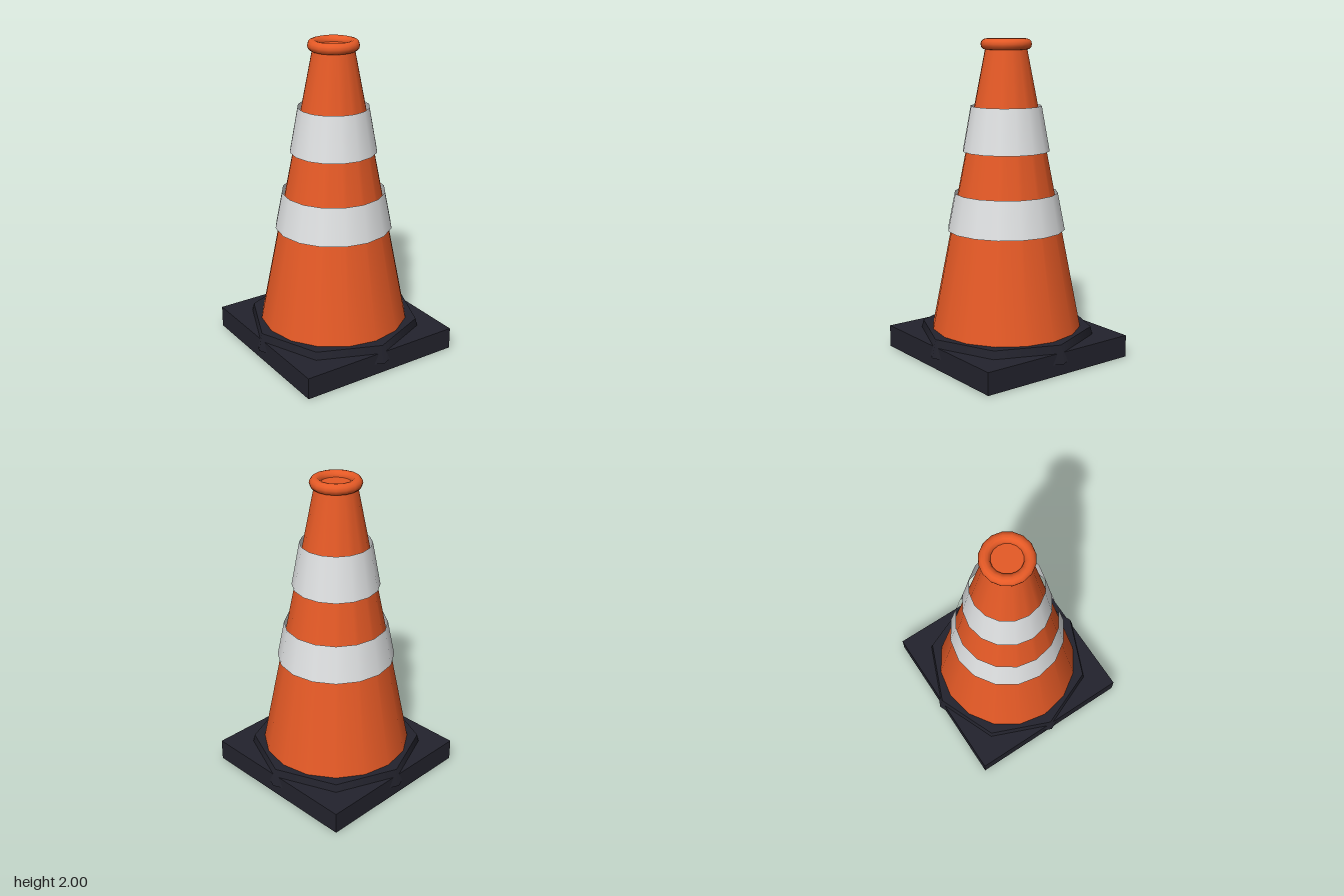
import * as THREE from 'three';

export function createModel() {
  const group = new THREE.Group();
  const orange = new THREE.MeshStandardMaterial({ name: 'orange plastic', color: 0xe65a26 });
  const silver = new THREE.MeshStandardMaterial({ name: 'reflective silver', color: 0xe0e2e3, side: THREE.DoubleSide });
  const rubber = new THREE.MeshStandardMaterial({ name: 'dark rubber', color: 0x23232d });

  function add(name, geometry, material, y = 0) {
    const mesh = new THREE.Mesh(geometry, material);
    mesh.name = name;
    mesh.position.y = y;
    group.add(mesh);
    return mesh;
  }

  // Tapered round part between two heights
  function taper(name, y0, r0, y1, r1, sides, material, open = false) {
    const geometry = new THREE.CylinderGeometry(r1, r0, y1 - y0, sides, 1, open);
    return add(name, geometry, material, (y0 + y1) / 2);
  }

  // Square foot with an octagonal collar whose corners poke past its sides
  add('basePlate', new THREE.BoxGeometry(1.086, 0.14, 1.086), rubber, 0.07);
  taper('baseCollar', 0.075, 0.568, 0.19, 0.543, 8, rubber);

  // Cone body
  taper('coneBody', 0.17, 0.479, 1.965, 0.125, 16, orange);

  // Loose reflective sleeves, open at both ends
  taper('lowerBand', 0.815, 0.372, 1.05, 0.326, 16, silver, true);
  taper('upperBand', 1.31, 0.273, 1.59, 0.222, 16, silver, true);

  // Rolled rim around the top
  const rim = new THREE.TorusGeometry(0.125, 0.034, 12, 16);
  rim.rotateX(Math.PI / 2);
  add('topRim', rim, orange, 1.966);

  return group;
}
